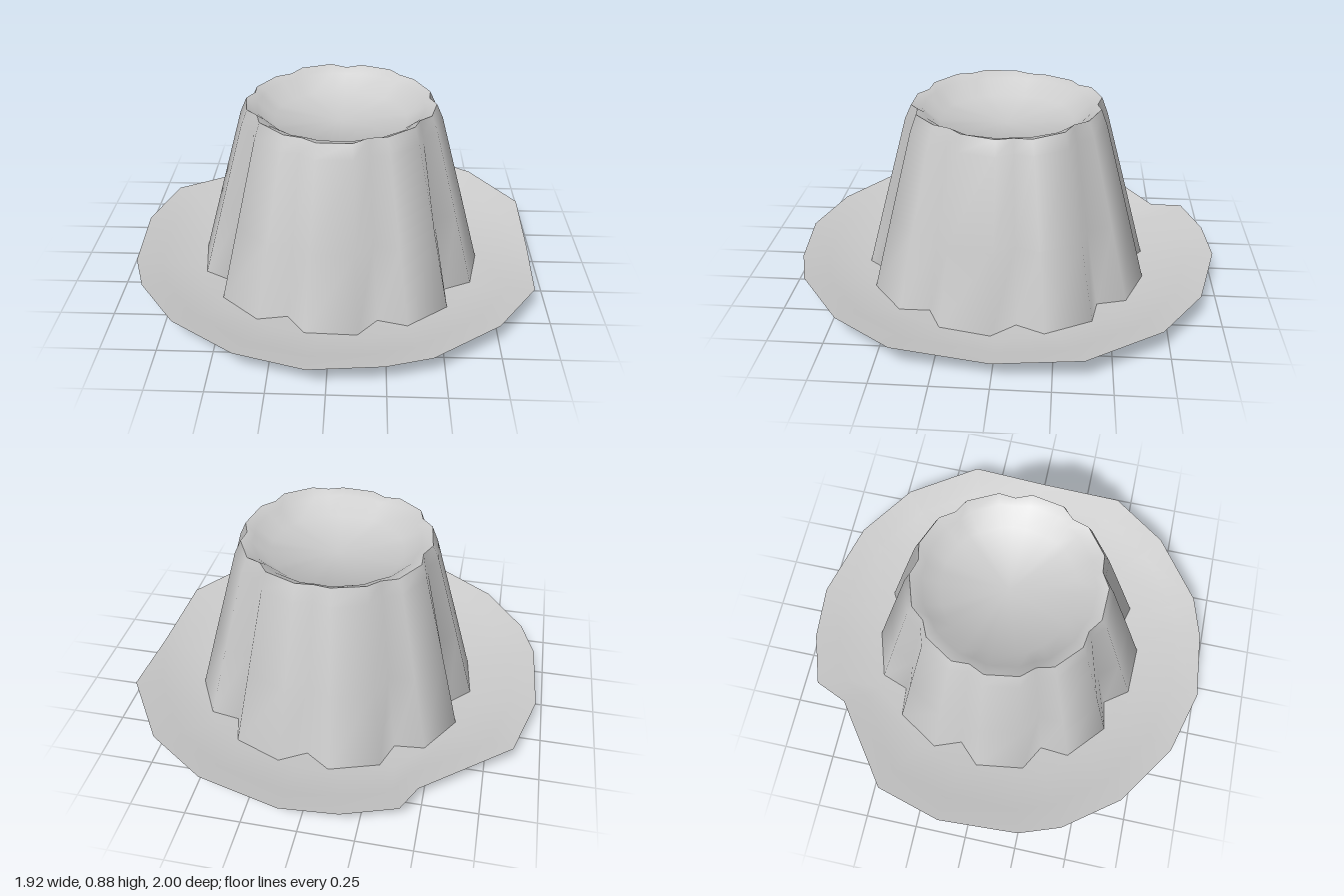
import * as THREE from 'three';
import { toCreasedNormals } from 'three/addons/utils/BufferGeometryUtils.js';

// Skin a list of closed rings, running from the underside outwards and up to the top centre.
function loft(rings, crease) {
  const out = [];
  const add = (...tri) => tri.forEach(p => out.push(p.x, p.y, p.z));
  for (let r = 0; r < rings.length - 1; r++) {
    const lo = rings[r], hi = rings[r + 1], n = lo.length;
    for (let i = 0; i < n; i++) {
      const j = (i + 1) % n;
      if (!lo[i].equals(lo[j])) add(lo[i], hi[i], lo[j]);
      if (!hi[i].equals(hi[j])) add(lo[j], hi[i], hi[j]);
    }
  }
  const geo = new THREE.BufferGeometry();
  geo.setAttribute('position', new THREE.Float32BufferAttribute(out, 3));
  return toCreasedNormals(geo, crease);
}

function createPlate(material) {
  // Uneven rim: x, z and an optional height where the edge dips
  const rim = [
    [0.96, 0, 0.095], [0.93, 0.42], [0.74, 0.69], [0.44, 0.91], [0.24, 0.97],
    [-0.08, 1], [-0.39, 0.91], [-0.68, 0.71], [-0.87, 0.45], [-0.94, 0.25],
    [-0.96, -0.14], [-0.87, -0.46], [-0.48, -0.75, 0.1], [-0.42, -0.9],
    [-0.18, -0.98], [0.08, -1], [0.46, -0.9], [0.74, -0.71], [0.96, -0.38],
  ].map(([x, z, y = 0.13]) => new THREE.Vector3(x, y, z));

  const circle = (radius, y) => rim.map(p => {
    const a = Math.atan2(p.z, p.x);
    return new THREE.Vector3(0.02 + Math.cos(a) * radius, y, Math.sin(a) * radius);
  });
  const centre = y => rim.map(() => new THREE.Vector3(0.02, y, 0));
  // Shoulder of the dished upper side, following the rim
  const shoulder = rim.map(p => new THREE.Vector3(p.x * 0.88, p.y - 0.03, p.z * 0.88));

  const rings = [centre(0.015), circle(0.64, 0), rim, shoulder, circle(0.7, 0.045), centre(0.045)];
  const plate = new THREE.Mesh(loft(rings, 0.33), material);
  plate.name = 'plate';
  return plate;
}

function createPudding(material) {
  const lobes = 9, step = Math.PI * 2 / lobes, start = THREE.MathUtils.degToRad(-88);
  // Each flute is a notch followed by two outer corners
  const ring = (outer, notch, y, wobble = 0) => {
    const points = [];
    for (let k = 0; k < lobes; k++) {
      [0, 0.25, 0.75].forEach((t, c) => {
        const a = start + (k + t) * step, r = c === 0 ? notch : outer;
        const h = y + wobble * Math.sin(k * 2.3 + c);
        points.push(new THREE.Vector3(0.03 + Math.cos(a) * r, h, Math.sin(a) * r));
      });
    }
    return points;
  };
  const rings = [
    ring(0.68, 0.595, 0.03),
    ring(0.58, 0.515, 0.4),
    ring(0.47, 0.435, 0.8),
    ring(0.44, 0.415, 0.87, 0.008),
    // Hollow top
    ring(0.39, 0.38, 0.85),
    ring(0.31, 0.31, 0.785),
    ring(0, 0, 0.765),
  ];
  const pudding = new THREE.Mesh(loft(rings, 1.15), material);
  pudding.name = 'flutedPudding';
  return pudding;
}

export function createModel() {
  const group = new THREE.Group();
  group.name = 'puddingOnPlate';
  const material = new THREE.MeshStandardMaterial({ color: 0xcccccc, side: THREE.DoubleSide });
  group.add(createPlate(material), createPudding(material));
  return group;
}
